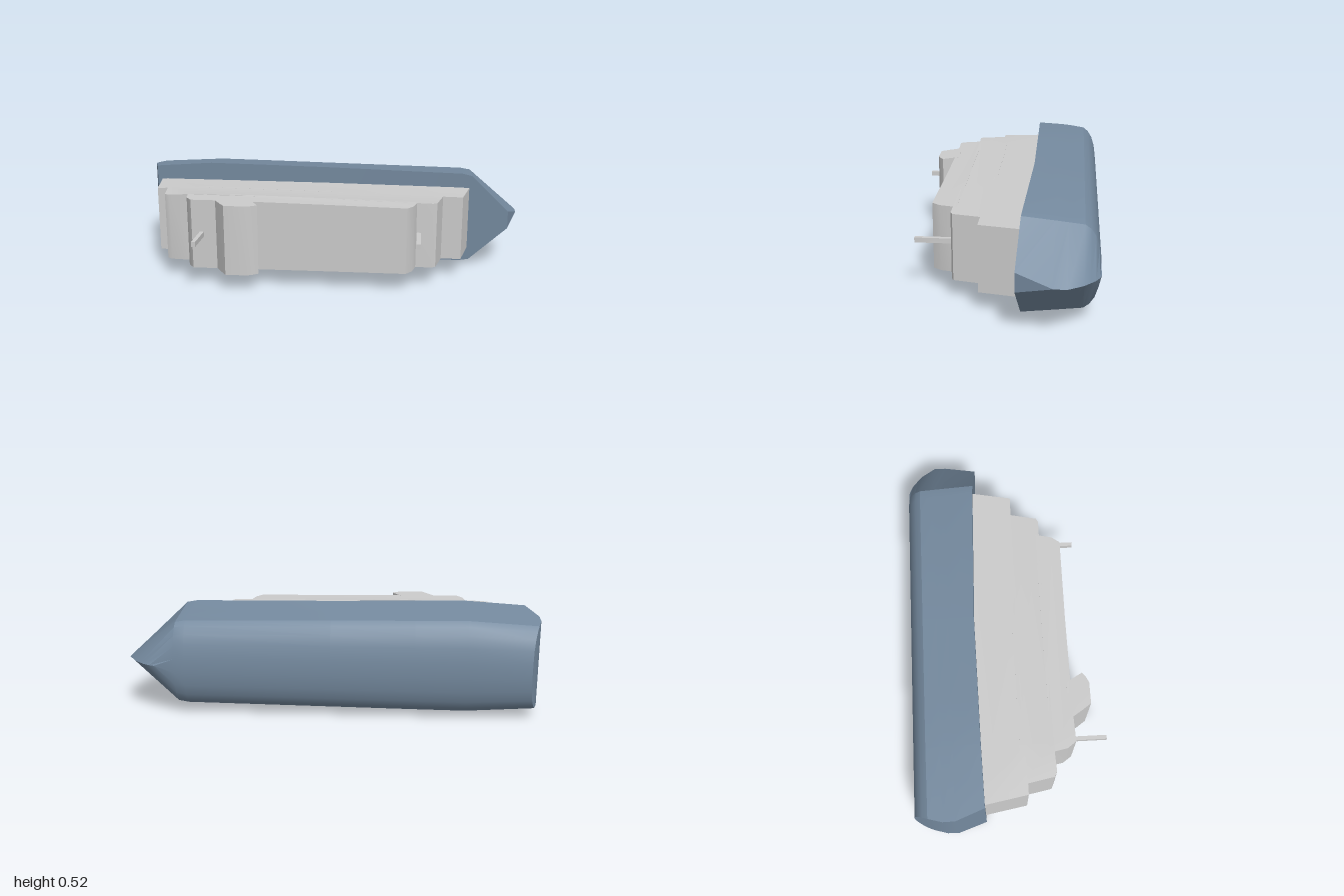
import * as THREE from 'three';
import { toCreasedNormals } from 'three/addons/utils/BufferGeometryUtils.js';

const MID = 0.26; // height of the ship's centreline; the ship lies on its side, deck facing +z

// piecewise-linear lookup through [x, value] pairs
function lookup(table, x) {
  if (x <= table[0][0]) return table[0][1];
  for (let i = 1; i < table.length; i++) {
    const [x0, v0] = table[i - 1], [x1, v1] = table[i];
    if (x <= x1) return v0 + (v1 - v0) * (x - x0) / (x1 - x0);
  }
  return table[table.length - 1][1];
}

// hull lofted through waterlines from deck to keel
function hullGeometry() {
  const beam = [[-1, 0.235], [-0.65, 0.26], [-0.4, 0.257], [0.7, 0.24], [0.75, 0.23]];
  const sheer = [[-0.95, -0.14], [-0.65, -0.146], [0, -0.152], [0.7, -0.132], [0.945, -0.115]];
  // z, width factor, stern x, bow x, bow half-width
  const levels = [
    [null, 1, -0.95, 0.945, 0.046],
    [-0.28, 0.93, -1, 1, 0],
    [-0.34, 0.9, -1, 1, 0],
    [-0.41, 0.865, -0.98, 0.955, 0],
    [-0.437, 0.78, -0.97, 0.925, 0],
    [-0.46, 0.63, -0.96, 0.9, 0],
    [-0.476, 0.42, -0.953, 0.87, 0],
    [-0.485, 0.15, -0.95, 0.845, 0],
  ];
  const pos = [], idx = [];
  for (const [z, k, xs, xb, wb] of levels) {
    const half = [xs, -0.65, -0.4, 0, 0.7, 0.75].map(x => [x, lookup(beam, x) * k]);
    half.push([xb, wb]);
    const ring = [...half.map(([x, w]) => [x, -w]), ...half.reverse()];
    for (const [x, y] of ring) pos.push(x, MID + y, z ?? lookup(sheer, x));
  }
  const n = 14, last = (levels.length - 1) * n;
  for (let i = 0; i < levels.length - 1; i++) {
    for (let j = 0; j < n; j++) {
      const a = i * n + j, b = i * n + (j + 1) % n, c = b + n, d = a + n;
      idx.push(a, d, c, a, c, b);
    }
  }
  // deck and keel caps
  for (let j = 0; j < n / 2 - 1; j++) {
    const a = j, b = j + 1, c = n - 2 - j, d = n - 1 - j;
    idx.push(a, b, c, a, c, d);
    idx.push(last + a, last + c, last + b, last + a, last + d, last + c);
  }
  const g = new THREE.BufferGeometry();
  g.setAttribute('position', new THREE.Float32BufferAttribute(pos, 3));
  g.setIndex(idx);
  return toCreasedNormals(g, 0.45);
}

// deckhouse: side profile (x, z) spread across the ship, following the hull's taper
function houseGeometry(profile) {
  const halfWidth = [[-0.93, 0.166], [-0.65, 0.178], [-0.4, 0.177], [0.74, 0.164]];
  const shape = new THREE.Shape(profile.map(([x, z]) => new THREE.Vector2(x, z)));
  const g = new THREE.ExtrudeGeometry(shape, { depth: 2, bevelEnabled: false });
  g.translate(0, 0, -1).rotateX(Math.PI / 2);
  const p = g.attributes.position;
  for (let i = 0; i < p.count; i++) {
    p.setY(i, MID + Math.sign(p.getY(i)) * lookup(halfWidth, p.getX(i)));
  }
  return toCreasedNormals(g, 0.5);
}

export function createModel() {
  const group = new THREE.Group();
  const blue = new THREE.MeshStandardMaterial({ color: 0x758a9f });
  const grey = new THREE.MeshStandardMaterial({ color: 0xcccccc });
  const add = (name, geometry, material = grey) => {
    const mesh = new THREE.Mesh(geometry, material);
    mesh.name = name;
    group.add(mesh);
  };

  add('hull', hullGeometry(), blue);

  // stepped superstructure and funnel
  const houses = {
    lowerDeckhouse: [[-0.93, -0.17], [-0.65, -0.17], [0, -0.17], [0.745, -0.16],
      [0.7, 0.068], [0.5, 0.066], [0, 0.06], [-0.65, 0.064], [-0.83, 0.07], [-0.888, 0.07]],
    middleDeckhouse: [[-0.84, 0.04], [-0.65, 0.04], [0, 0.04], [0.605, 0.04],
      [0.57, 0.2], [0.55, 0.21], [0, 0.204], [-0.65, 0.205], [-0.785, 0.212], [-0.81, 0.2]],
    upperDeckhouse: [[-0.692, 0.19], [-0.4, 0.19], [0.475, 0.19],
      [0.455, 0.275], [0.425, 0.315], [0, 0.31], [-0.5, 0.31], [-0.645, 0.315], [-0.677, 0.27]],
    funnel: [[-0.535, 0.29], [-0.345, 0.29], [-0.3, 0.372], [-0.325, 0.39],
      [-0.352, 0.403], [-0.46, 0.403], [-0.49, 0.36]],
  };
  for (const [name, profile] of Object.entries(houses)) add(name, houseGeometry(profile));

  // masts
  for (const [name, x, z0, z1] of [['aftMast', -0.594, 0.21, 0.485], ['foreMast', 0.485, 0.17, 0.395]]) {
    const g = new THREE.BoxGeometry(0.02, 0.025, z1 - z0);
    add(name, g.translate(x, MID + 0.002, (z0 + z1) / 2));
  }
  return group;
}
